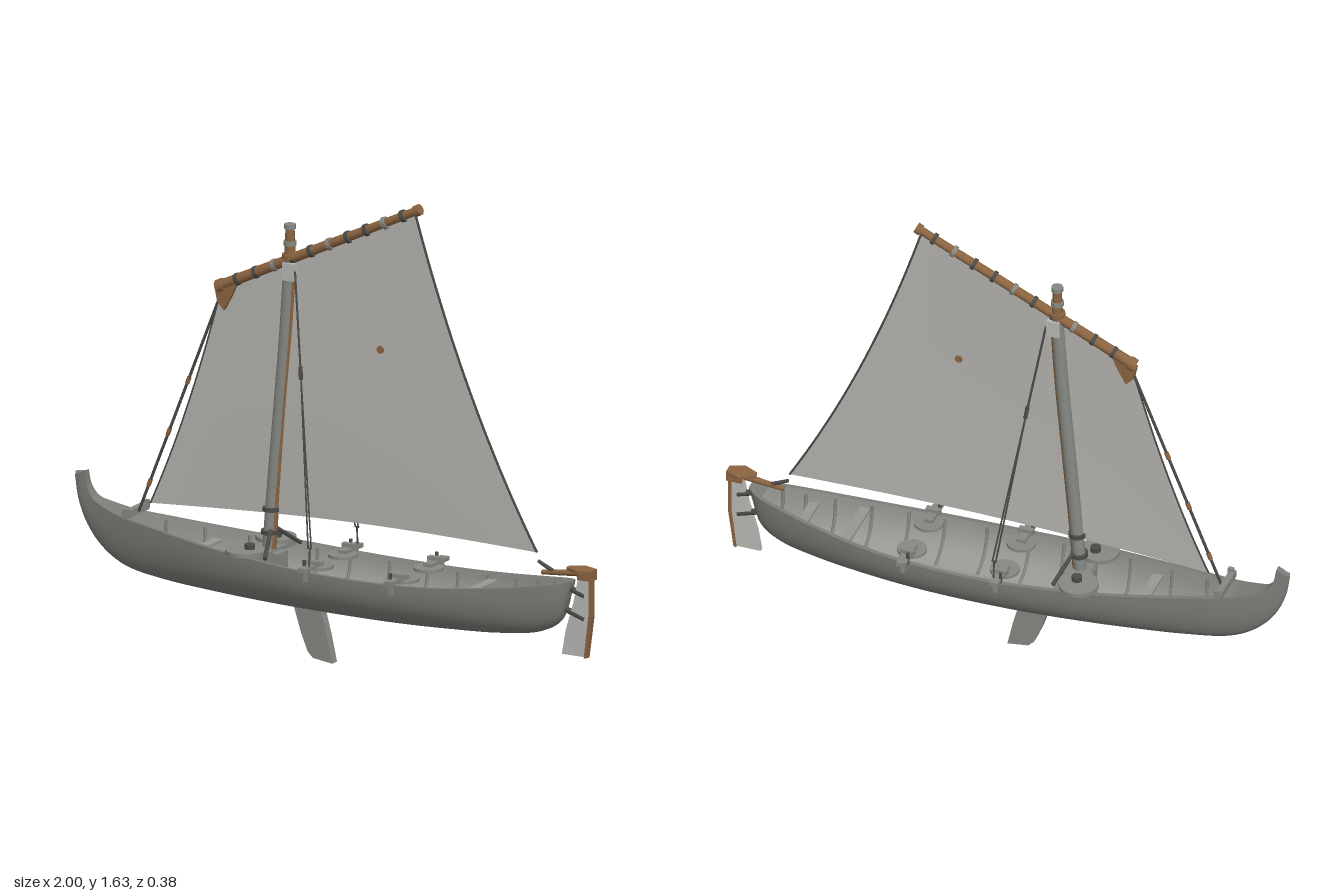
import * as THREE from 'three';
import { ParametricGeometry } from 'three/addons/geometries/ParametricGeometry.js';

const V = (x, y, z = 0) => new THREE.Vector3(x, y, z);

export function createModel() {
  const boat = new THREE.Group();
  const mat = (name, color, side = THREE.FrontSide) => {
    const m = new THREE.MeshStandardMaterial({ color, side });
    m.name = name;
    return m;
  };
  const hullGrey = mat('hull grey', 0x7a7d77, THREE.DoubleSide);
  const innerGrey = mat('inner grey', 0x969892, THREE.DoubleSide);
  const fittingGrey = mat('fitting grey', 0x858882);
  const darkGrey = mat('rope grey', 0x4b4c48);
  const wood = mat('worn wood', 0x8b6440);
  const canvas = mat('canvas', 0xb5b3af, THREE.DoubleSide);
  const paleGrey = mat('pale grey', 0xb8b9b5);

  // helpers
  const add = (name, geo, material, pos = [0, 0, 0], rot = [0, 0, 0]) => {
    const m = new THREE.Mesh(geo, material);
    m.name = name;
    m.position.set(...pos);
    m.rotation.set(...rot);
    boat.add(m);
    return m;
  };
  const box = (name, size, material, pos, rot) => add(name, new THREE.BoxGeometry(...size), material, pos, rot);
  const disc = (name, r, h, material, pos, n = 24) => add(name, new THREE.CylinderGeometry(r, r, h, n), material, pos);
  // tapered round bar between two points
  const bar = (name, a, b, r0, r1, material, n = 12) => {
    const m = add(name, new THREE.CylinderGeometry(r1, r0, a.distanceTo(b), n), material);
    m.position.copy(a).lerp(b, 0.5);
    m.quaternion.setFromUnitVectors(V(0, 1), b.clone().sub(a).normalize());
    return m;
  };
  const surface = (name, fn, nu, nv, material) => {
    const g = new ParametricGeometry((u, v, t) => t.copy(fn(u, v)), nu, nv);
    g.computeVertexNormals();
    return add(name, g, material);
  };
  const plate = (name, pts, depth, material) => {
    const s = new THREE.Shape(pts.map(p => new THREE.Vector2(...p)));
    const g = new THREE.ExtrudeGeometry(s, { depth, bevelEnabled: false });
    g.translate(0, 0, -depth / 2);
    return add(name, g, material);
  };

  // hull stations: keel x, keel y, rail x, rail y, half beam
  const stations = [
    [-1.0, .515, -.955, .535, .013], [-.985, .43, -.945, .485, .016], [-.95, .35, -.92, .447, .024],
    [-.89, .28, -.87, .427, .039], [-.8, .228, -.8, .41, .056], [-.65, .203, -.65, .393, .086],
    [-.4, .19, -.4, .37, .13], [-.2, .185, -.2, .358, .153], [0, .183, 0, .348, .164],
    [.25, .183, .25, .346, .16], [.45, .188, .45, .353, .142], [.65, .198, .65, .372, .108],
    [.8, .222, .8, .392, .073], [.872, .265, .885, .405, .045], [.905, .35, .92, .412, .016],
  ];
  const keel = new THREE.CatmullRomCurve3(stations.map(s => V(s[0], s[1])));
  const rail = new THREE.CatmullRomCurve3(stations.map(s => V(s[2], s[3], s[4])));
  const at = k => k / (stations.length - 1);
  const hullPoint = (u, side, inset = 0) => {
    const k = keel.getPoint(u), r = rail.getPoint(u), a = side * Math.PI / 2;
    if (inset) k.y += Math.min(0.02, 0.6 * (r.y - k.y));
    const w = Math.max(r.z - inset, 0.001);
    const f = 1 - Math.pow(Math.max(Math.cos(a), 0), 0.9);
    return V(k.x + (r.x - k.x) * f, k.y + (r.y - k.y) * f, w * Math.sign(a) * Math.pow(Math.abs(Math.sin(a)), 0.8));
  };
  const THICK = 0.016;
  surface('hullShell', (u, v) => hullPoint(u, v * 2 - 1), 84, 32, hullGrey);
  surface('hullLining', (u, v) => hullPoint(u, v * 2 - 1, THICK), 84, 32, innerGrey);
  for (const s of [-1, 1])
    surface('gunwale', (u, v) => hullPoint(u, s, v ? THICK : 0), 84, 1, hullGrey);
  for (const end of [0, 1]) {
    const c = hullPoint(end, 0).lerp(rail.getPoint(end).setZ(0), 0.8);
    surface('hullEnd', (u, v) => hullPoint(end, u * 2 - 1).lerp(c, v), 16, 1, hullGrey);
  }
  const deck = (name, k0, k1) => surface(name, (u, v) => {
    const r = rail.getPoint(at(k0 + (k1 - k0) * u));
    return V(r.x, r.y, r.z * (v * 2 - 1) * 0.98);
  }, 16, 4, hullGrey);
  deck('bowDeck', 0, 3.9);
  deck('sternDeck', 12.7, 14);

  // ribs along the lining
  for (let i = 0; i < 13; i++) {
    const u = at(4.8 + i * 0.62);
    const pts = Array.from({ length: 15 }, (_, j) => hullPoint(u, (j / 7 - 1) * 0.97, THICK + 0.002));
    add('rib', new THREE.TubeGeometry(new THREE.CatmullRomCurve3(pts), 24, 0.006, 5), fittingGrey);
  }
  // cross benches and bow beam
  for (const [x, w] of [[-.5, .17], [.55, .21], [.72, .15]])
    box('crossBench', [.035, .01, w], innerGrey, [x, .335, 0]);
  box('bowBeam', [.022, .025, .15], fittingGrey, [-.77, .42, 0]);
  box('floorBoard', [1.1, .008, .07], innerGrey, [.05, .212, 0]);

  // mast step with a round pad on each side
  box('mastStep', [.1, .14, .07], fittingGrey, [-.25, .285, 0]);
  box('mastBench', [.07, .015, .27], fittingGrey, [-.26, .355, 0]);
  for (const s of [-1, 1]) {
    disc('mastPad', .068, .014, fittingGrey, [-.285, .371, s * .102]);
    disc('mastPadKnob', .018, .02, darkGrey, [-.275, .385, s * .09], 12);
    bar('mastBrace', V(-.235, .43, s * .02), V(-.2, .36, s * .12), .007, .007, darkGrey, 8);
    box('bowCleat', [.02, .03, .015], fittingGrey, [-.765, .428, s * .068]);
    // rowing pads on the rails
    for (const x of [-.015, .315]) {
      disc('rowingPad', .05, .01, fittingGrey, [x, .352, s * .08]);
      box('rowingArm', [.032, .014, .12], fittingGrey, [x, .362, s * .132]);
      bar('rowingPin', V(x - .012, .345, s * .155), V(x - .012, .388, s * .155), .006, .006, darkGrey, 8);
      box('rowingBlock', [.05, .02, .02], fittingGrey, [x, .372, s * .125]);
      box('railBracket', [.014, .035, .012], fittingGrey, [x, .335, s * .168]);
    }
    // shrouds, single above and doubled below
    const top = V(-.14, 1.34, s * .022), mid = V(-.088, 1.0, s * .073);
    bar('upperShroud', top, mid, .004, .004, darkGrey, 6);
    bar('shroudBlock', V(-.092, 1.03, s * .069), V(-.086, .985, s * .076), .007, .007, darkGrey, 8);
    for (const d of [-.006, .006])
      bar('lowerShroud', mid, V(-.005 + d, .43, s * .158), .003, .003, darkGrey, 6);
    bar('shroudTail', V(-.005, .435, s * .157), V(-.005, .35, s * .163), .003, .003, darkGrey, 6);
  }

  // mast with a bare wooden strip on its after side
  const mastPts = [[-.258, .29], [-.243, .5], [-.212, .85], [-.19, 1.1], [-.172, 1.37]];
  const mastLine = dx => new THREE.CatmullRomCurve3(mastPts.map(p => V(p[0] + dx, p[1])));
  add('mast', new THREE.TubeGeometry(mastLine(0), 32, .022, 14), fittingGrey);
  add('mastStrip', new THREE.TubeGeometry(mastLine(.013), 32, .0135, 10), wood);
  bar('mastHead', V(-.172, 1.33), V(-.172, 1.49), .021, .015, wood);
  for (const [y, r] of [[1.345, .027], [1.385, .027], [1.43, .022], [1.488, .02]])
    disc('mastBand', r, .016, y === 1.385 ? wood : fittingGrey, [-.172, y, 0], 14);
  box('mastCheek', [.045, .06, .055], paleGrey, [-.165, 1.335, 0]);
  for (const y of [.42, .5]) disc('mastRing', .03, .014, darkGrey, [y === .5 ? -.243 : -.25, y, 0], 14);

  // yard, its end caps and lashings
  const y0 = V(-.45, 1.24), y1 = V(.33, 1.615);
  bar('yard', y0, y1, .019, .014, wood);
  const yardAt = t => y0.clone().lerp(y1, t);
  bar('yardCap', yardAt(0), yardAt(.03), .023, .023, wood);
  bar('yardTip', yardAt(.975), yardAt(1), .019, .019, wood);
  for (let i = 1; i < 11; i++)
    bar('yardLashing', yardAt(i / 11), yardAt(i / 11 + .016), .021, .021, i % 3 ? darkGrey : fittingGrey);
  plate('yardKnot', [[-.455, 1.235], [-.37, 1.265], [-.39, 1.22], [-.42, 1.165], [-.445, 1.19]], .026, wood);

  // sail between a straight luff and a hollow leech
  const luff = new THREE.QuadraticBezierCurve3(V(-.71, .455), V(-.56, .78), V(-.435, 1.24));
  const leech = new THREE.QuadraticBezierCurve3(V(.78, .49), V(.5, .97), V(.31, 1.6));
  surface('sail', (u, v) => {
    const p = luff.getPoint(v).lerp(leech.getPoint(v), u);
    p.y += .022 * Math.sin(Math.PI * u) * (1 - v);
    p.z = .007 * Math.sin(Math.PI * u) * Math.sin(Math.PI * v);
    return p;
  }, 28, 24, canvas);
  add('leechRope', new THREE.TubeGeometry(leech, 24, .004, 6), darkGrey);
  add('luffRope', new THREE.TubeGeometry(luff, 24, .003, 6), darkGrey);
  add('sailPatch', new THREE.CylinderGeometry(.014, .014, .009, 7), wood, [.18, 1.11, .005], [Math.PI / 2, 0, 0]);

  // forestay with small toggles
  const f0 = V(-.755, .42), f1 = V(-.445, 1.2);
  bar('forestay', f0, f1, .005, .005, darkGrey, 6);
  for (const t of [.12, .36, .6])
    bar('stayToggle', f0.clone().lerp(f1, t), f0.clone().lerp(f1, t + .03), .008, .008, wood, 8);

  // centreboard
  plate('centreboard', [[-.155, .2], [-.12, .09], [-.095, .03], [-.075, .01], [0, 0], [-.02, .09], [-.05, .2]], .032, fittingGrey);

  // rudder and tiller
  plate('rudderBlade', [[.88, .155], [.968, .155], [.985, .3], [.985, .44], [.945, .44], [.925, .34], [.895, .24]], .016, paleGrey);
  plate('rudderEdge', [[.966, .152], [.976, .152], [.996, .3], [.996, .44], [.984, .44], [.984, .3]], .022, wood);
  box('rudderHead', [.055, .035, .04], wood, [.9725, .44, 0]);
  for (const y of [.3, .38]) bar('rudderHinge', V(.89, y + .01), V(.965, y - .015), .011, .011, darkGrey, 8);
  const cap = plate('rudderCap', [[.9, -.012], [.95, -.036], [1, -.018], [1, .018], [.95, .036], [.9, .012]], .01, wood);
  cap.rotation.x = -Math.PI / 2;
  cap.position.y = .454;
  bar('tiller', V(.8, .425), V(.97, .445), .008, .013, wood);
  bar('tillerGrip', V(.785, .462), V(.85, .43), .006, .008, darkGrey, 8);

  return boat;
}
